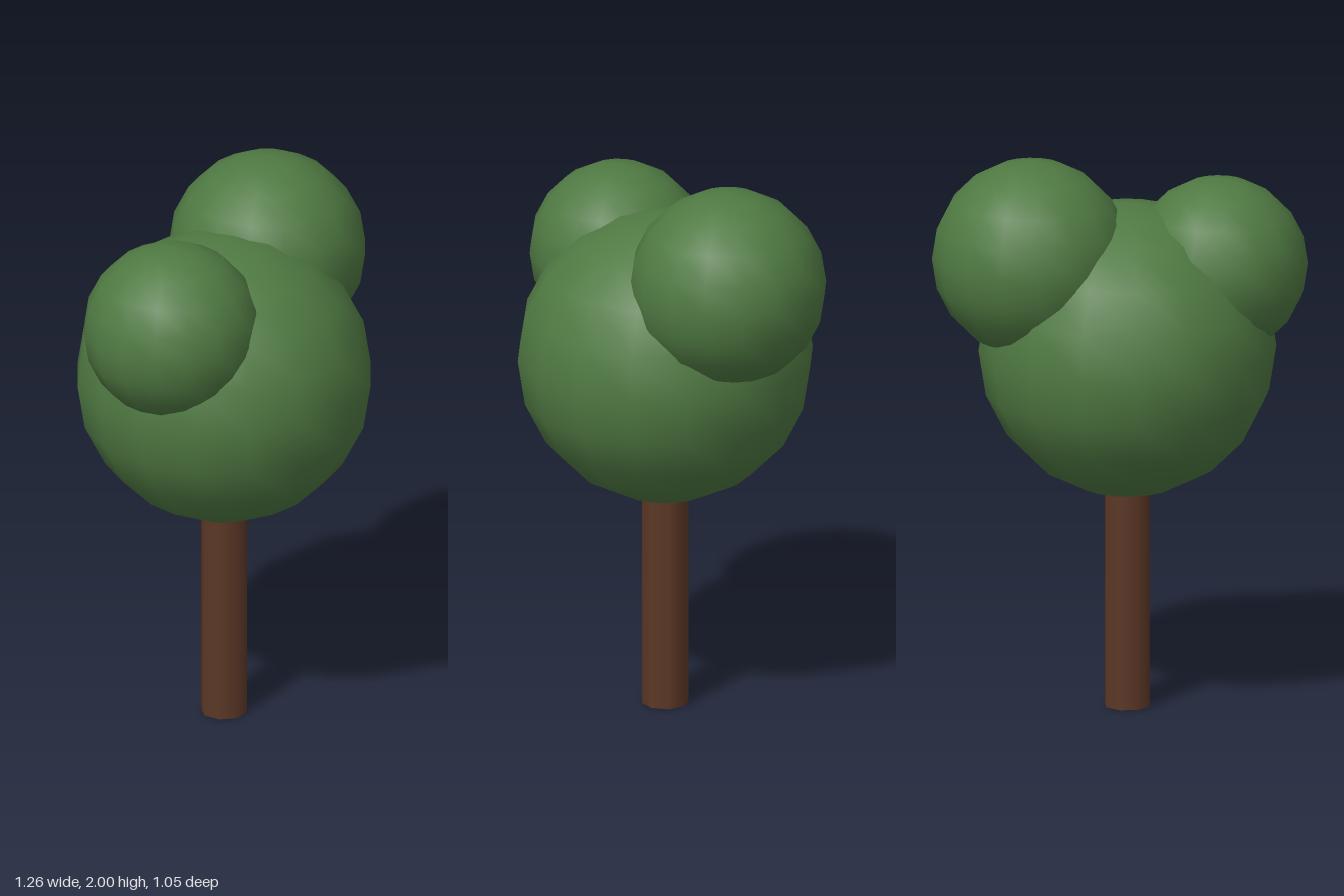
import * as THREE from 'three';

export function createModel() {
  const tree = new THREE.Group();
  tree.name = 'tree';

  const bark = new THREE.MeshStandardMaterial({ color: 0x5c3826 });
  bark.name = 'bark brown';
  const leaves = new THREE.MeshStandardMaterial({ color: 0x4f7942 });
  leaves.name = 'leaf green';

  // Trunk, reaching into the crown
  const trunkHeight = 1.0;
  const trunk = new THREE.Mesh(new THREE.CylinderGeometry(0.083, 0.083, trunkHeight, 8), bark);
  trunk.name = 'trunk';
  trunk.position.set(-0.0175, trunkHeight / 2, 0);
  tree.add(trunk);

  // Crown: one large ball of leaves with two smaller ones on its shoulders
  const balls = [
    ['crown', 0.526, [-0.0175, 1.3, 0]],
    ['leftFoliage', 0.351, [0.281, 1.649, -0.176]],
    ['rightFoliage', 0.316, [-0.316, 1.596, 0.121]],
  ];
  for (const [name, radius, position] of balls) {
    const ball = new THREE.Mesh(new THREE.SphereGeometry(radius, 16, 10), leaves);
    ball.name = name;
    ball.position.set(...position);
    tree.add(ball);
  }

  return tree;
}
